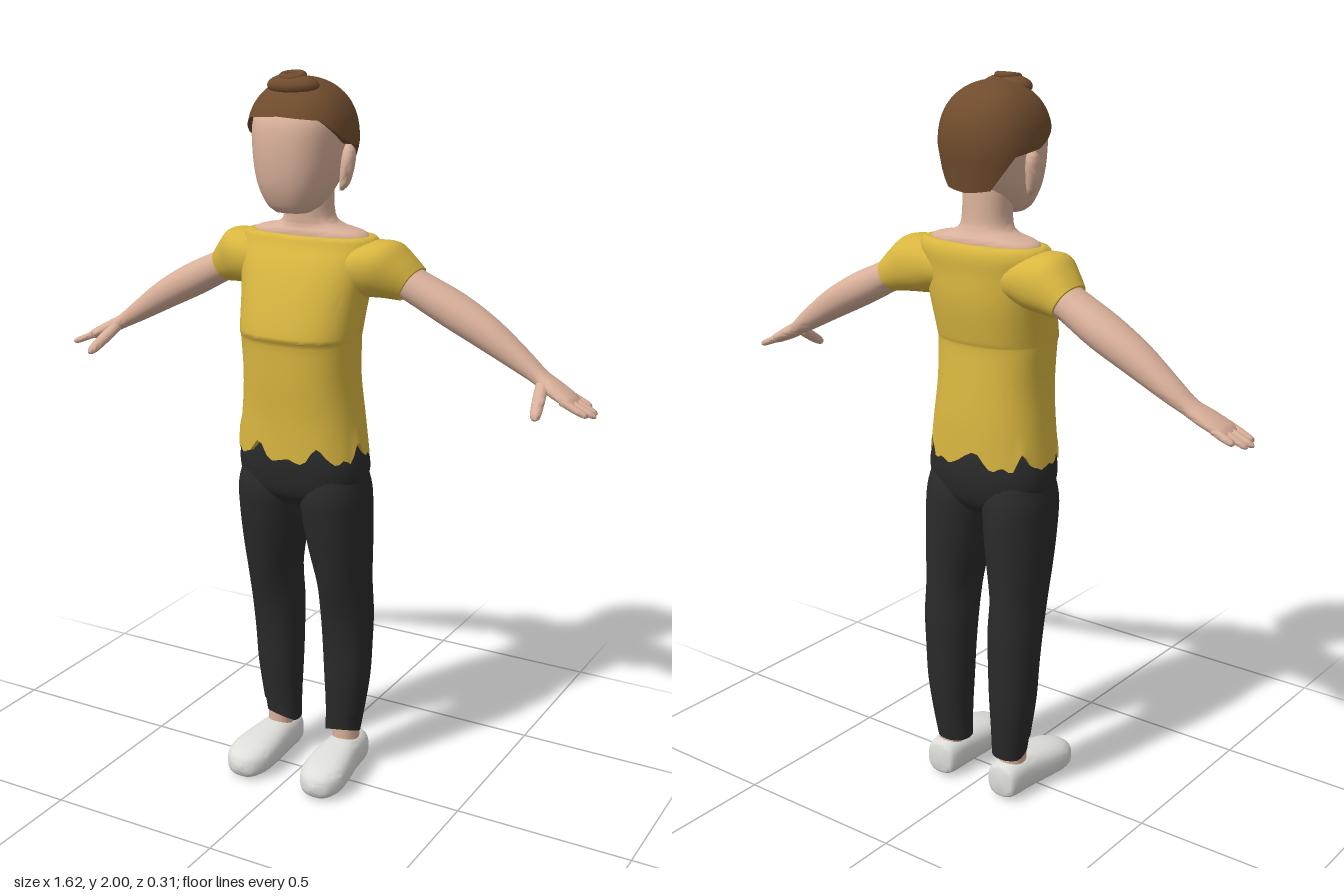
import * as THREE from 'three';
import { toCreasedNormals } from 'three/addons/utils/BufferGeometryUtils.js';

const V = (x, y, z) => new THREE.Vector3(x, y, z);
const X = V(1, 0, 0), Y = V(0, 1, 0), Z = V(0, 0, 1);

const material = (name, color) => {
  const m = new THREE.MeshStandardMaterial({ color });
  m.name = name;
  return m;
};

// Closed skin over rows x columns of points; both ends are fanned to their centres.
function skin(rows, crease = 1.0) {
  const n = rows[0].length;
  const centre = (r) => r.reduce((s, p) => s.add(p), V(0, 0, 0)).divideScalar(n);
  const pos = [];
  const tri = (...ps) => ps.forEach((p) => pos.push(p.x, p.y, p.z));
  const first = centre(rows[0]), lastRow = rows[rows.length - 1], last = centre(lastRow);
  for (let i = 0; i < n; i++) {
    const k = (i + 1) % n;
    tri(first, rows[0][k], rows[0][i]);
    for (let j = 0; j < rows.length - 1; j++) {
      const a = rows[j], b = rows[j + 1];
      tri(a[i], a[k], b[k]);
      tri(a[i], b[k], b[i]);
    }
    tri(lastRow[i], lastRow[k], last);
  }
  const g = new THREE.BufferGeometry();
  g.setAttribute('position', new THREE.Float32BufferAttribute(pos, 3));
  return toCreasedNormals(g, crease);
}

// Rounded cross-section: 2 is an ellipse, higher powers are squarer.
const round = (c, power) => Math.sign(c) * Math.abs(c) ** (2 / power);

// Smooth loft through sections [x, y, z, radius along side, radius across].
function loft(sections, { dir = Y, side = Z, n = 28, power = 2.2, steps = 4, warp } = {}) {
  const D = dir.clone().normalize();
  const A = side.clone().addScaledVector(D, -side.dot(D)).normalize();
  const B = D.clone().cross(A);
  const path = new THREE.CatmullRomCurve3(sections.map((s) => V(s[0], s[1], s[2])), false, 'catmullrom');
  const size = new THREE.CatmullRomCurve3(sections.map((s) => V(s[3], s[4], 0)), false, 'catmullrom');
  const rows = [], total = (sections.length - 1) * steps;
  for (let j = 0; j <= total; j++) {
    const c = path.getPoint(j / total), r = size.getPoint(j / total);
    rows.push(Array.from({ length: n }, (_, i) => {
      const a = (i / n) * Math.PI * 2;
      const p = c.clone()
        .addScaledVector(A, r.x * round(Math.cos(a), power))
        .addScaledVector(B, r.y * round(Math.sin(a), power));
      if (warp) warp(p, a);
      return p;
    }));
  }
  return skin(rows);
}

// Mirror a triangle-soup geometry to the other side, keeping faces outward.
function mirrored(geo) {
  const g = geo.clone().scale(-1, 1, 1);
  for (const key of ['position', 'normal']) {
    const a = g.attributes[key].array;
    for (let t = 0; t < a.length; t += 9) {
      for (let c = 0; c < 3; c++) [a[t + 3 + c], a[t + 6 + c]] = [a[t + 6 + c], a[t + 3 + c]];
    }
  }
  return g;
}

// Hair cap: the lower edge follows the hairline from forehead to nape.
function hairCap() {
  const line = [[0, 1.893], [0.8, 1.885], [1.57, 1.82], [2.1, 1.805], [2.6, 1.72], [3.15, 1.71]];
  const edge = (a) => {
    const t = Math.min(a, Math.PI * 2 - a);
    const k = line.findIndex((p, i) => i > 0 && t <= p[0]);
    const [p, q] = [line[k - 1], line[k]];
    return p[1] + ((q[1] - p[1]) * (t - p[0])) / (q[0] - p[0]);
  };
  const radius = (y) => (y < 1.82 ? 1 - 1.2 * (1.82 - y)
    : Math.sqrt(Math.max(0, 1 - ((y - 1.82) / 0.165) ** 2.5)));
  const n = 48, rows = [];
  for (let j = -1; j <= 16; j++) {
    rows.push(Array.from({ length: n }, (_, i) => {
      const a = (i / n) * Math.PI * 2, base = edge(a);
      const t = Math.sin((Math.max(j, 0) / 16) * Math.PI / 2);
      const y = base + (1.984 - base) * t;
      const r = radius(y) * (j < 0 ? 0.8 : 1);
      return V(0.141 * r * round(Math.sin(a), 2.3), y, -0.007 + 0.143 * r * round(Math.cos(a), 2.3));
    }));
  }
  return skin(rows);
}

export function createModel() {
  const model = new THREE.Group();
  model.name = 'figure';
  const skinTone = material('skin', 0xd9b09a);
  const yellow = material('yellow shirt', 0xd9b640);
  const black = material('black trousers', 0x2a2a2b);
  const brown = material('brown hair', 0x704c2d);
  const white = material('white shoes', 0xdededb);

  const add = (name, geo, mat) => {
    const m = new THREE.Mesh(geo, mat);
    m.name = name;
    model.add(m);
    return m;
  };
  const pair = (name, geo, mat) => {
    add('left' + name, geo, mat);
    add('right' + name, mirrored(geo), mat);
  };

  // Head, neck and ears
  add('head', loft([
    [0, 1.645, 0.045, 0.04, 0.045], [0, 1.665, 0.035, 0.07, 0.07], [0, 1.72, 0.017, 0.11, 0.098],
    [0, 1.8, 0.002, 0.133, 0.114], [0, 1.88, -0.005, 0.131, 0.117], [0, 1.93, -0.01, 0.095, 0.09],
  ], { power: 2.5, n: 36 }), skinTone);
  add('neckAndShoulders', loft([
    [0, 1.54, -0.05, 0.07, 0.17], [0, 1.583, -0.05, 0.075, 0.165], [0, 1.602, -0.048, 0.067, 0.095],
    [0, 1.63, -0.042, 0.062, 0.068], [0, 1.72, -0.035, 0.064, 0.066],
  ]), skinTone);
  pair('Ear', loft([
    [0.112, 1.7, -0.01, 0.006, 0.005], [0.12, 1.72, -0.012, 0.016, 0.013],
    [0.126, 1.765, -0.016, 0.022, 0.017], [0.128, 1.8, -0.02, 0.018, 0.016], [0.125, 1.82, -0.02, 0.006, 0.006],
  ], { n: 14 }), skinTone);

  // Hair with a small curled tuft on top
  add('hair', hairCap(), brown);
  const tuft = add('hairTuft', new THREE.SphereGeometry(1, 24, 14), brown);
  tuft.scale.set(0.072, 0.03, 0.05);
  tuft.position.set(0, 1.964, 0.045);
  const curl = add('hairCurl', new THREE.TorusGeometry(0.026, 0.011, 10, 24), brown);
  curl.rotation.x = Math.PI / 2 + 0.15;
  curl.position.set(0, 1.987, 0.048);

  // Shirt body with a ragged hem
  add('shirt', loft([
    [0, 1.0, -0.012, 0.133, 0.183], [0, 1.1, -0.01, 0.132, 0.169], [0, 1.2, -0.003, 0.131, 0.16],
    [0, 1.3, 0.003, 0.128, 0.164], [0, 1.325, 0.004, 0.133, 0.166], [0, 1.42, -0.018, 0.127, 0.176],
    [0, 1.5, -0.035, 0.111, 0.19], [0, 1.55, -0.05, 0.096, 0.198], [0, 1.578, -0.05, 0.082, 0.185],
    [0, 1.574, -0.05, 0.06, 0.14],
  ], {
    n: 72, power: 2.4,
    warp: (p, a) => {
      const w = THREE.MathUtils.clamp((1.08 - p.y) / 0.08, 0, 1);
      p.y += w * (-0.014 + 0.045 * Math.max(0, Math.sin(7 * a + 4)) ** 2 + 0.006 * Math.sin(19 * a));
    },
  }), yellow);

  // Sleeves and arms
  const armDir = V(0.87, -0.48, 0);
  pair('Sleeve', loft([
    [0.1, 1.5, -0.05, 0.08, 0.07], [0.15, 1.503, -0.05, 0.09, 0.078], [0.205, 1.495, -0.058, 0.09, 0.084],
    [0.25, 1.477, -0.07, 0.078, 0.066], [0.285, 1.459, -0.08, 0.065, 0.05],
  ], { dir: armDir }), yellow);
  pair('Arm', loft([
    [0.2, 1.5, -0.075, 0.055, 0.045], [0.3, 1.452, -0.082, 0.056, 0.044], [0.4, 1.402, -0.09, 0.059, 0.047],
    [0.5, 1.348, -0.092, 0.05, 0.042], [0.6, 1.285, -0.092, 0.037, 0.029], [0.65, 1.253, -0.088, 0.032, 0.021],
    [0.69, 1.232, -0.08, 0.042, 0.019], [0.735, 1.21, -0.073, 0.044, 0.015], [0.752, 1.201, -0.073, 0.036, 0.009],
  ], { dir: armDir, n: 22 }), skinTone);

  // Fingers and thumb
  const digit = (from, to, r, side) => {
    const at = (t, k) => [...from.clone().lerp(to, t).toArray(), r * k, r * k * 0.85];
    return loft([at(0, 1), at(0.5, 1), at(0.88, 0.8), at(1, 0.25)],
      { dir: to.clone().sub(from), side, n: 10, steps: 3 });
  };
  [0.782, 0.805, 0.81, 0.797].forEach((tip, i) => {
    const z = -0.108 + i * 0.024;
    pair('Finger' + (i + 1), digit(V(0.725, 1.213, z), V(tip, 1.177 + (0.81 - tip) * 0.4, z), 0.0115, Z), skinTone);
  });
  pair('Thumb', digit(V(0.662, 1.24, -0.065), V(0.686, 1.178, 0.042), 0.017, X), skinTone);

  // Trousers
  add('trouserHips', loft([
    [0, 0.84, -0.022, 0.08, 0.1], [0, 0.88, -0.018, 0.112, 0.165], [0, 0.94, -0.017, 0.125, 0.186],
    [0, 1.0, -0.014, 0.126, 0.178], [0, 1.05, -0.012, 0.115, 0.16],
  ], { power: 2.4, n: 36 }), black);
  pair('TrouserLeg', loft([
    [0.098, 0.115, -0.07, 0.047, 0.05], [0.105, 0.2, -0.072, 0.057, 0.056], [0.11, 0.3, -0.072, 0.066, 0.065],
    [0.111, 0.4, -0.07, 0.07, 0.07], [0.112, 0.5, -0.064, 0.079, 0.073], [0.112, 0.6, -0.048, 0.092, 0.071],
    [0.106, 0.7, -0.036, 0.104, 0.082], [0.1, 0.8, -0.026, 0.115, 0.09], [0.096, 0.88, -0.02, 0.118, 0.092],
    [0.093, 0.95, -0.018, 0.1, 0.08],
  ], {
    warp: (p, a) => { if (p.y < 0.17) p.y += 0.025 * Math.max(0, Math.cos(a - 0.4)); },
  }), black);

  // Ankles and shoes
  pair('Ankle', loft([
    [0.11, 0.07, -0.07, 0.042, 0.038], [0.108, 0.12, -0.07, 0.041, 0.037], [0.105, 0.19, -0.07, 0.04, 0.037],
  ], { n: 18 }), skinTone);
  pair('Shoe', loft([
    [0.11, 0.055, -0.135, 0.025, 0.03], [0.11, 0.054, -0.122, 0.047, 0.05], [0.112, 0.055, -0.04, 0.055, 0.054],
    [0.116, 0.052, 0.04, 0.065, 0.051], [0.12, 0.047, 0.1, 0.065, 0.046],
    [0.121, 0.042, 0.142, 0.045, 0.036], [0.121, 0.04, 0.16, 0.012, 0.013],
  ], { dir: Z, side: X, power: 2.6 }), white);

  return model;
}
